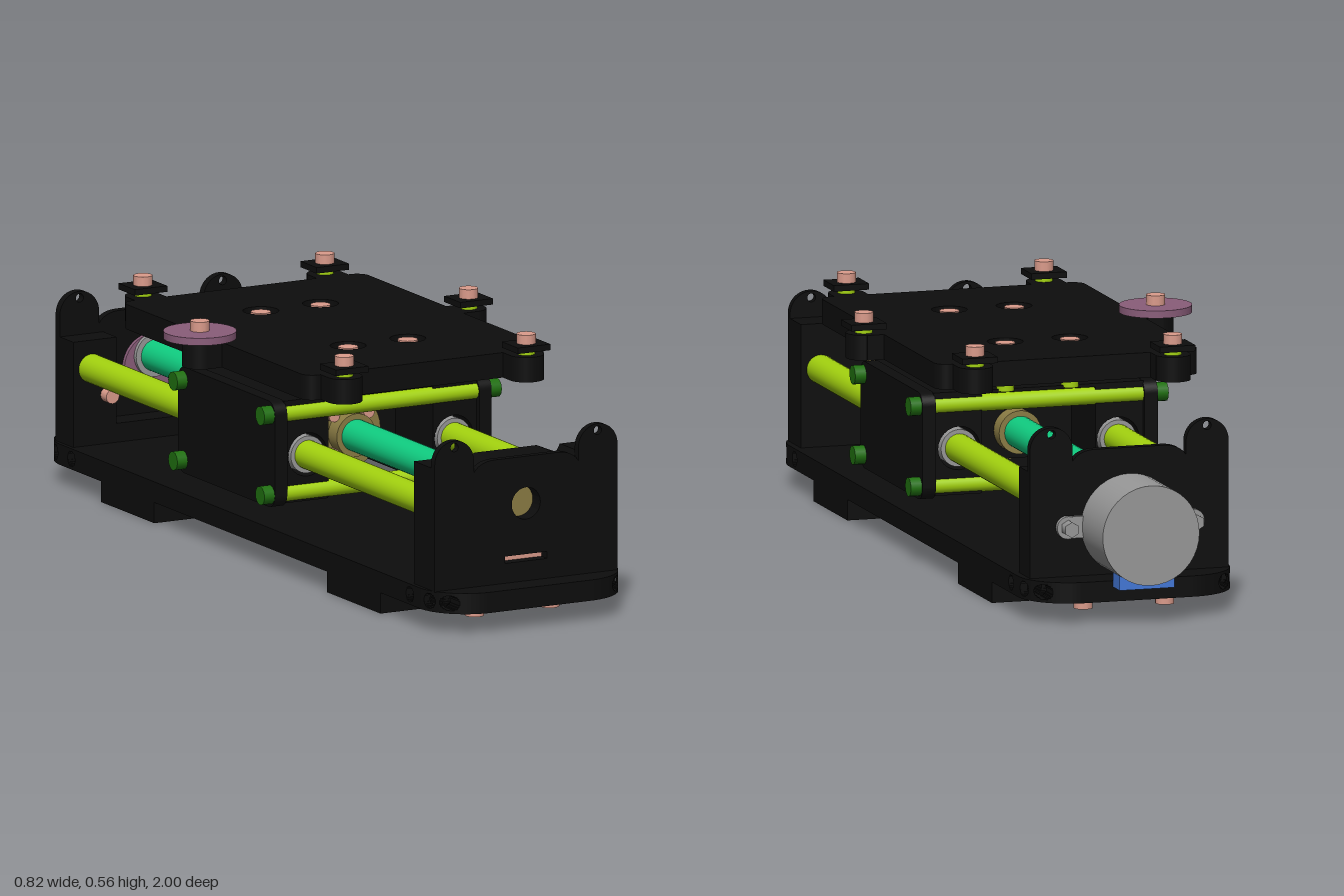
import * as THREE from 'three';

const mat = (name, color) => Object.assign(new THREE.MeshStandardMaterial({ color }), { name });
const BLACK = mat('black plastic', 0x0d0d0d), LIME = mat('lime rod', 0xa3d20f), TEAL = mat('teal screw', 0x10cc80);
const SALMON = mat('salmon bolt', 0xdc9c8c), BLUE = mat('blue washer', 0x1010cc), GREY = mat('grey metal', 0x989898);
const GREEN = mat('green bolt', 0x207010), MAUVE = mat('mauve disc', 0x8a5d7a), GOLD = mat('gold nut', 0x8c7d45);
const LIGHT_BLUE = mat('light blue plug', 0x4478d8);

export function createModel() {
  const g = new THREE.Group();
  g.name = 'linearStage';
  const add = (name, geo, m, x = 0, y = 0, z = 0) => {
    const o = new THREE.Mesh(geo, m);
    o.name = name;
    o.position.set(x, y, z);
    g.add(o);
    return o;
  };
  // Box and cylinder given by their limits
  const box = (name, m, x0, x1, y0, y1, z0, z1) =>
    add(name, new THREE.BoxGeometry(x1 - x0, y1 - y0, z1 - z0), m, (x0 + x1) / 2, (y0 + y1) / 2, (z0 + z1) / 2);
  const cylY = (name, m, r, x, z, y0, y1, n = 24) =>
    add(name, new THREE.CylinderGeometry(r, r, y1 - y0, n), m, x, (y0 + y1) / 2, z);
  const cylZ = (name, m, r, x, y, z0, z1, n = 32) =>
    add(name, new THREE.CylinderGeometry(r, r, z1 - z0, n).rotateX(Math.PI / 2), m, x, y, (z0 + z1) / 2);
  const cylX = (name, m, r, y, z, x0, x1, n = 24) =>
    add(name, new THREE.CylinderGeometry(r, r, x1 - x0, n).rotateZ(Math.PI / 2), m, (x0 + x1) / 2, y, z);
  const extrude = (s, depth) => new THREE.ExtrudeGeometry(s, { depth, bevelEnabled: false, curveSegments: 12 });
  const hole = (s, x, y, r) => s.holes.push(new THREE.Path().absarc(x, y, r, 0, Math.PI * 2, true));
  const roundRect = (x0, x1, y0, y1, r) => {
    const s = new THREE.Shape();
    s.absarc(x1 - r, y1 - r, r, 0, Math.PI / 2);
    s.absarc(x0 + r, y1 - r, r, Math.PI / 2, Math.PI);
    s.absarc(x0 + r, y0 + r, r, Math.PI, Math.PI * 1.5);
    s.absarc(x1 - r, y0 + r, r, Math.PI * 1.5, Math.PI * 2);
    s.closePath();
    return s;
  };
  // Lays a plan shape (x, -z) flat between two heights
  const flat = (name, m, s, y0, y1) => add(name, extrude(s, y1 - y0).rotateX(-Math.PI / 2), m, 0, y0, 0);
  const sides = [-1, 1];

  // Base: thin layers cut into pieces, leaving round bores along and across it
  const clip = (pts, k, v, sign) => {
    const out = [];
    pts.forEach((p, i) => {
      const q = pts[(i + 1) % pts.length];
      const a = (p[k] - v) * sign, b = (q[k] - v) * sign;
      if (a >= 0) out.push(p);
      if ((a > 0 && b < 0) || (a < 0 && b > 0)) out.push(p.clone().lerp(q, a / (a - b)));
    });
    return out;
  };
  const outline = roundRect(-0.246, 0.252, -1, 0.92, 0.12).getPoints(10)
    .filter((p, i, a) => i === 0 || p.distanceTo(a[i - 1]) > 1e-5);
  const r = 0.017, boreY = 0.072;
  const levels = [0.048, 0.055, 0.058, 0.062, 0.067, 0.077, 0.082, 0.086, 0.089, 0.096];
  for (let i = 0; i < levels.length - 1; i++) {
    const mid = (levels[i] + levels[i + 1]) / 2 - boreY;
    const w = Math.sqrt(Math.max(0, r * r - mid * mid));
    const spans = (bores) => {
      if (w === 0) return [[-2, 2]];
      const e = [-2, ...bores.flatMap((b) => [b - w, b + w]), 2];
      return e.filter((_, j) => j % 2 === 0).map((a, j) => [a, e[2 * j + 1]]);
    };
    for (const [x0, x1] of spans([-0.211, 0.217])) for (const [v0, v1] of spans([-0.917, -0.837, 0.749, 0.83])) {
      let p = clip(clip(outline, 'x', x0, 1), 'x', x1, -1);
      p = clip(clip(p, 'y', v0, 1), 'y', v1, -1);
      if (p.length > 2) flat('basePlate', BLACK, new THREE.Shape(p), levels[i], levels[i + 1]);
    }
  }
  for (const [z0, z1] of [[0.45, 0.7], [-0.61, -0.36]]) box('foot', BLACK, -0.246, 0.252, 0, 0.05, z0, z1);
  for (const s of sides) for (const z of [0.87, -0.8]) {
    cylY('baseWasher', BLUE, 0.038, s * 0.097, z, 0.04, 0.0475);
    cylY('baseBolt', SALMON, 0.022, s * 0.097, z, 0.014, 0.041, 12);
  }

  // End plate outline with two rounded ears
  const endShape = (front) => {
    const s = new THREE.Shape();
    s.moveTo(-0.236, 0.094);
    s.lineTo(0.236, 0.094);
    s.lineTo(0.236, 0.39);
    s.absarc(0.1855, 0.39, 0.0505, 0, Math.PI);
    s.lineTo(0.135, 0.36);
    s.quadraticCurveTo(0.12, 0.385, 0.08, 0.385);
    s.lineTo(-0.08, 0.385);
    s.quadraticCurveTo(-0.12, 0.385, -0.135, 0.36);
    s.lineTo(-0.135, 0.39);
    s.absarc(-0.1855, 0.39, 0.0505, 0, Math.PI);
    s.closePath();
    for (const k of sides) hole(s, k * 0.185, 0.425, 0.01);
    if (front) openings(s);
    return s;
  };
  const openings = (s) => {
    hole(s, 0, 0.276, 0.037);
    s.holes.push(new THREE.Path([[-0.054, 0.142], [-0.054, 0.158], [0.054, 0.158], [0.054, 0.142]]
      .map(([x, y]) => new THREE.Vector2(x, y))));
  };
  add('frontPlate', extrude(endShape(true), 0.017), BLACK, 0, 0, 0.919);
  const body = new THREE.Shape([[-0.236, 0.094], [0.236, 0.094], [0.236, 0.38], [0.14, 0.38], [0.13, 0.362], [0.08, 0.383],
    [-0.08, 0.383], [-0.13, 0.362], [-0.14, 0.38], [-0.236, 0.38]].map(([x, y]) => new THREE.Vector2(x, y)));
  openings(body);
  add('frontBlock', extrude(body, 0.08), BLACK, 0, 0, 0.84);
  cylZ('frontBearing', GOLD, 0.037, 0, 0.276, 0.83, 0.9);
  cylZ('frontBearingFlange', GOLD, 0.08, 0, 0.276, 0.828, 0.839);
  box('sensorTongue', SALMON, -0.054, 0.054, 0.142, 0.158, 0.8, 0.91);
  box('sensor', SALMON, -0.054, 0.054, 0.128, 0.175, 0.786, 0.839);

  // Rear plate with side blocks around an open coupling bay
  add('rearPlate', extrude(endShape(false), 0.02), BLACK, 0, 0, -0.84);
  for (const s of sides) box('rearBlock', BLACK, s * 0.18 - 0.056, s * 0.18 + 0.056, 0.094, 0.34, -0.82, -0.757);
  box('rearSill', BLACK, -0.13, 0.13, 0.094, 0.14, -0.82, -0.757);
  cylZ('couplingDisc', MAUVE, 0.075, 0, 0.25, -0.82, -0.81);
  cylZ('couplingHub', GREY, 0.05, 0, 0.276, -0.81, -0.8);

  // Motor with mounting ears
  cylZ('motor', GREY, 0.115, 0, 0.21, -1, -0.84, 40);
  box('motorPlug', LIGHT_BLUE, -0.065, 0.065, 0.082, 0.13, -0.97, -0.92);
  box('motorFlange', GREY, -0.149, 0.149, 0.185, 0.235, -0.85, -0.84);
  for (const s of sides) {
    cylZ('motorEar', GREY, 0.026, s * 0.149, 0.21, -0.852, -0.84);
    cylZ('motorNut', GREY, 0.018, s * 0.149, 0.21, -0.88, -0.85, 6);
    cylZ('motorBolt', SALMON, 0.017, s * 0.149, 0.21, -0.757, -0.73, 12);
  }

  // Guide rods and lead screw
  for (const s of sides) cylZ('guideRod', LIME, 0.033, s * 0.189, 0.275, -0.8, 0.845);
  cylZ('leadScrew', TEAL, 0.037, 0, 0.276, -0.8, 0.83);

  // Carriage: bored blocks, rounded cheeks, cross bolts and nut
  for (const s of sides) {
    const b = roundRect(s * 0.1925 - 0.0575, s * 0.1925 + 0.0575, 0.168, 0.398, 0.004);
    hole(b, s * 0.189, 0.275, 0.05);
    add('carriageBlock', extrude(b, 0.43), BLACK, 0, 0, -0.175);
    const cheek = extrude(roundRect(-0.267, 0.187, 0.16, 0.406, 0.03), 0.032).rotateY(Math.PI / 2);
    add('carriageCheek', cheek, BLACK, s * 0.264 - 0.016, 0, 0);
    for (const z of [-0.11, 0.19]) cylZ('linearBearing', GREY, 0.043, s * 0.189, 0.275, z - 0.065, z + 0.065);
    for (const y of [0.19, 0.375]) for (const z of [-0.163, 0.245])
      cylX('carriageBolt', GREEN, 0.022, y, z, s * 0.292 - 0.0145, s * 0.292 + 0.0145, 12);
  }
  for (const y of [0.19, 0.375]) for (const z of [-0.163, 0.245]) cylX('crossBolt', LIME, 0.02, y, z, -0.25, 0.25);
  box('carriageTop', BLACK, -0.25, 0.25, 0.397, 0.405, -0.175, 0.255);
  box('nutHolder', BLACK, -0.14, 0.14, 0.21, 0.34, 0, 0.08);
  cylZ('nutFlange', GOLD, 0.085, 0, 0.276, 0.08, 0.1);
  cylZ('nutBody', GOLD, 0.05, 0, 0.276, -0.04, 0.14);
  for (const x of sides) for (const y of sides)
    cylZ('nutBolt', SALMON, 0.014, x * 0.045, 0.276 + y * 0.045, 0.1, 0.12, 12);

  // Platform with counterbored bolts
  const top = roundRect(-0.312, 0.312, -0.475, 0.397, 0.03);
  const boltSpots = sides.flatMap((s) => [-0.167, 0.242].map((z) => [s * 0.077, z]));
  for (const [x, z] of boltSpots) hole(top, x, -z, 0.041);
  flat('platform', BLACK, top, 0.48, 0.513);
  flat('platformUnderside', BLACK, roundRect(-0.312, 0.312, -0.475, 0.397, 0.03), 0.455, 0.48);
  for (const [x, z] of boltSpots) {
    cylY('platformWasher', BLUE, 0.041, x, z, 0.478, 0.486);
    cylY('platformBolt', SALMON, 0.023, x, z, 0.485, 0.511, 12);
    cylY('platformStandoff', LIME, 0.02, x, z, 0.4, 0.457);
  }

  // Tabs on the platform, each with a swivel clip; one side carries a disc
  const tabs = sides.flatMap((s) => [[s * 0.235, -0.433, 0, -1], [s * 0.235, 0.51, 0, 1], [s * 0.347, 0.037, s, 0]]);
  for (const [x, z, dx, dz] of tabs) {
    cylY('tabEnd', BLACK, 0.041, x, z, 0.455, 0.513);
    const wx = dx ? 0.03 : 0.041, wz = dz ? 0.03 : 0.041;
    box('tab', BLACK, x - dx * 0.025 - wx, x - dx * 0.025 + wx, 0.455, 0.513, z - dz * 0.025 - wz, z - dz * 0.025 + wz);
    cylY('clipShaft', LIME, 0.02, x, z, 0.51, 0.541);
    cylY('clipBolt', SALMON, 0.022, x, z, 0.537, 0.56, 12);
    if (dx < 0) cylY('disc', MAUVE, 0.083, x, z, 0.52, 0.537, 48);
    else box('clip', BLACK, x - 0.042, x + 0.042, 0.524, 0.538, z - 0.038, z + 0.038);
  }

  g.position.x = 0.021;
  const root = new THREE.Group();
  root.name = 'model';
  root.add(g);
  return root;
}
